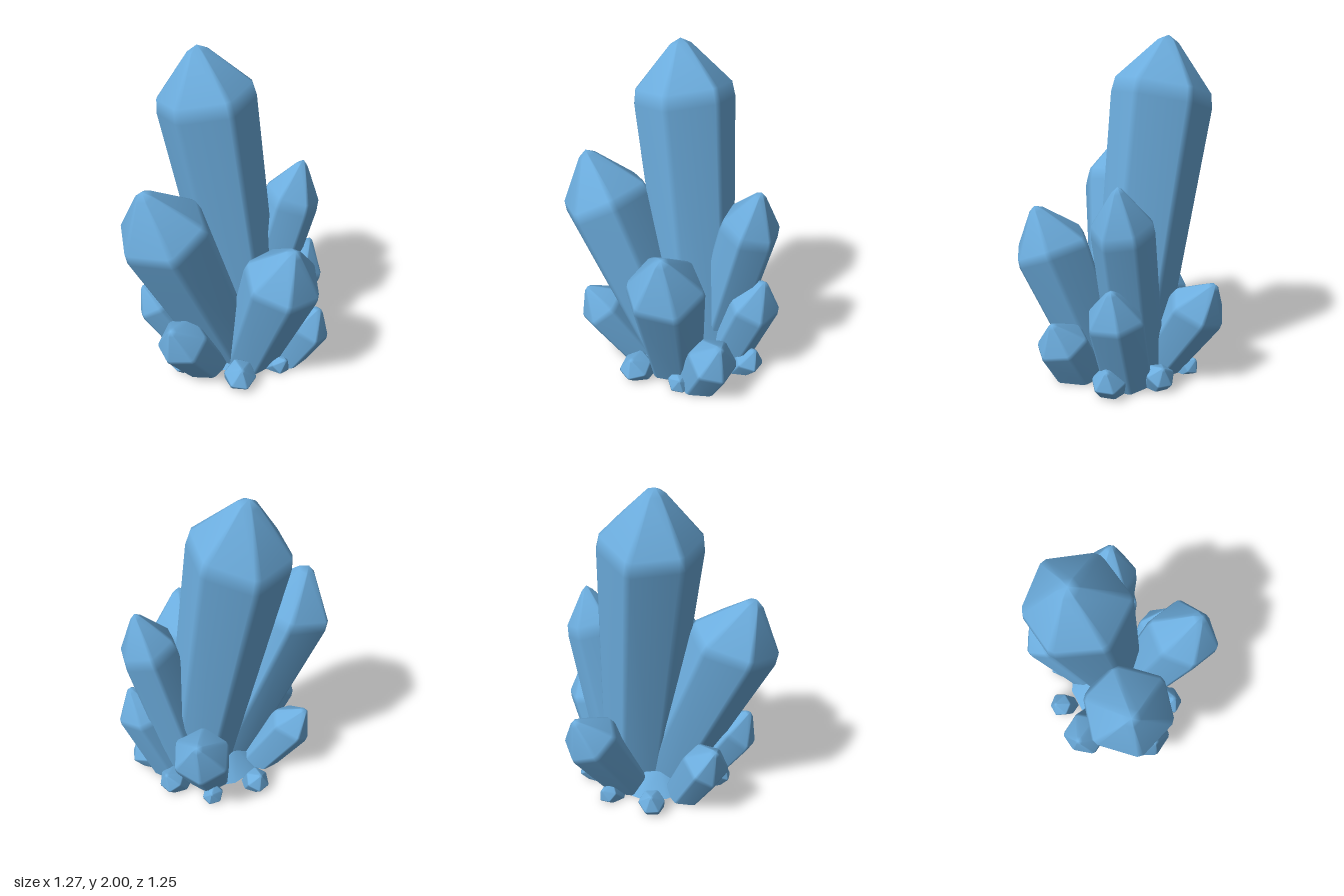
import * as THREE from 'three';

const blue = new THREE.MeshStandardMaterial({ color: 0x6cadde });
blue.name = 'crystal blue';

// Small seeded generator, -1 to 1
let seed;
const rnd = () => {
  seed = (seed * 16807) % 2147483647;
  return (seed / 2147483647) * 2 - 1;
};

// Six-sided point with softened edges, cut flat where it meets y = 0.
// foot is [x, z], tip is [x, y, z], neck is the height share where the cap begins
function crystal(name, foot, tip, neck, r, footR, twist) {
  const B = new THREE.Vector3(foot[0], 0, foot[1]);
  const T = new THREE.Vector3(...tip);
  const S = B.clone().lerp(T, neck);
  const d = T.clone().sub(B).normalize();
  const u = new THREE.Vector3(1, 0, 0).addScaledVector(d, -d.x).normalize();
  const v = u.clone().cross(d);
  const rings = [[], [], [], []];
  for (let i = 0; i < 6; i++) {
    const k = r * (1 + 0.03 * rnd()), lift = 0.12 * r * rnd();
    const mid = twist + i * 60 + 4 * rnd();
    for (const side of [-1, 1]) {
      // two points per corner make a narrow bevel
      const a = THREE.MathUtils.degToRad(mid + side * 4);
      const out = u.clone().multiplyScalar(Math.cos(a)).addScaledVector(v, Math.sin(a));
      const top = S.clone().addScaledVector(out, k).addScaledVector(d, lift);
      const low = B.clone().addScaledVector(out, footR);
      low.addScaledVector(d, -low.y / d.y);
      rings[0].push(low);
      rings[1].push(top.clone().lerp(low, Math.min(0.06, 0.012 / r)));
      rings[2].push(top.clone().lerp(T, 0.06));
      rings[3].push(top.clone().lerp(T, 0.8).addScaledVector(d, 0.09 * r));
    }
  }
  // Sides, pointed top and separate flat bottom
  const n = 12, pts = [...rings.flat(), T, ...rings[0], B], idx = [];
  for (let i = 0; i < n; i++) {
    const j = (i + 1) % n;
    for (let q = 0; q < 3; q++) {
      const a = q * n + i, b = q * n + j;
      idx.push(a, a + n, b + n, a, b + n, b);
    }
    idx.push(4 * n, 3 * n + j, 3 * n + i);
    idx.push(5 * n + 1, 4 * n + 1 + i, 4 * n + 1 + j);
  }
  const g = new THREE.BufferGeometry().setFromPoints(pts);
  g.setIndex(idx);
  g.computeVertexNormals();
  const mesh = new THREE.Mesh(g, blue);
  mesh.name = name;
  return mesh;
}

// Small crystal at the edge of the cluster, leaning outwards from the middle
function nugget(name, degrees, distance, height, r) {
  const a = THREE.MathUtils.degToRad(degrees);
  const x = distance * Math.cos(a), z = distance * Math.sin(a);
  return crystal(name, [0.8 * x, 0.8 * z], [x, height, z], 0.58, r, 0.85 * r, 30 * rnd());
}

export function createModel() {
  seed = 7;
  const group = new THREE.Group();
  group.name = 'crystalCluster';

  group.add(
    // Tall crystals
    crystal('mainCrystal', [0.17, -0.05], [-0.14, 2, -0.175], 0.85, 0.3, 0.215, 9),
    crystal('tallLeftCrystal', [0.02, 0.06], [-0.5, 1.345, 0.27], 0.8, 0.272, 0.195, 25),
    crystal('frontCrystal', [0.13, 0.16], [0.32, 1.02, 0.48], 0.77, 0.235, 0.175, 30),
    crystal('tallRightCrystal', [0.18, -0.13], [0.5, 1.25, -0.155], 0.815, 0.178, 0.165, 10),
    // Shorter crystals around the foot
    crystal('lowRightCrystal', [0.3, -0.12], [0.57, 0.68, -0.145], 0.735, 0.168, 0.155, 30),
    crystal('backCrystal', [0.08, -0.2], [0.12, 0.63, -0.59], 0.745, 0.178, 0.135, 30),
    crystal('lowLeftCrystal', [-0.24, -0.02], [-0.53, 0.475, -0.06], 0.72, 0.14, 0.12, 20),
    crystal('frontLeftCrystal', [-0.15, 0.2], [-0.39, 0.48, 0.42], 0.71, 0.158, 0.13, 10),
    crystal('frontRightCrystal', [0.34, 0.18], [0.56, 0.4, 0.24], 0.65, 0.152, 0.145, 20),
    // Small nuggets around the edge
    nugget('frontNugget', 86, 0.46, 0.15, 0.1),
    nugget('frontRightNugget', 46, 0.48, 0.09, 0.07),
    nugget('rightNugget', -11, 0.57, 0.175, 0.1),
    nugget('backRightNugget', -47, 0.5, 0.15, 0.085),
    nugget('backNugget', -84, 0.46, 0.09, 0.065),
    nugget('backLeftNugget', -128, 0.42, 0.14, 0.08),
    nugget('leftNugget', 144, 0.42, 0.14, 0.085),
  );

  // Low core closing the gaps between the feet
  const core = new THREE.Mesh(new THREE.CylinderGeometry(0.18, 0.31, 0.12, 12), blue);
  core.name = 'core';
  core.position.set(0.06, 0.06, 0);
  group.add(core);

  return group;
}
